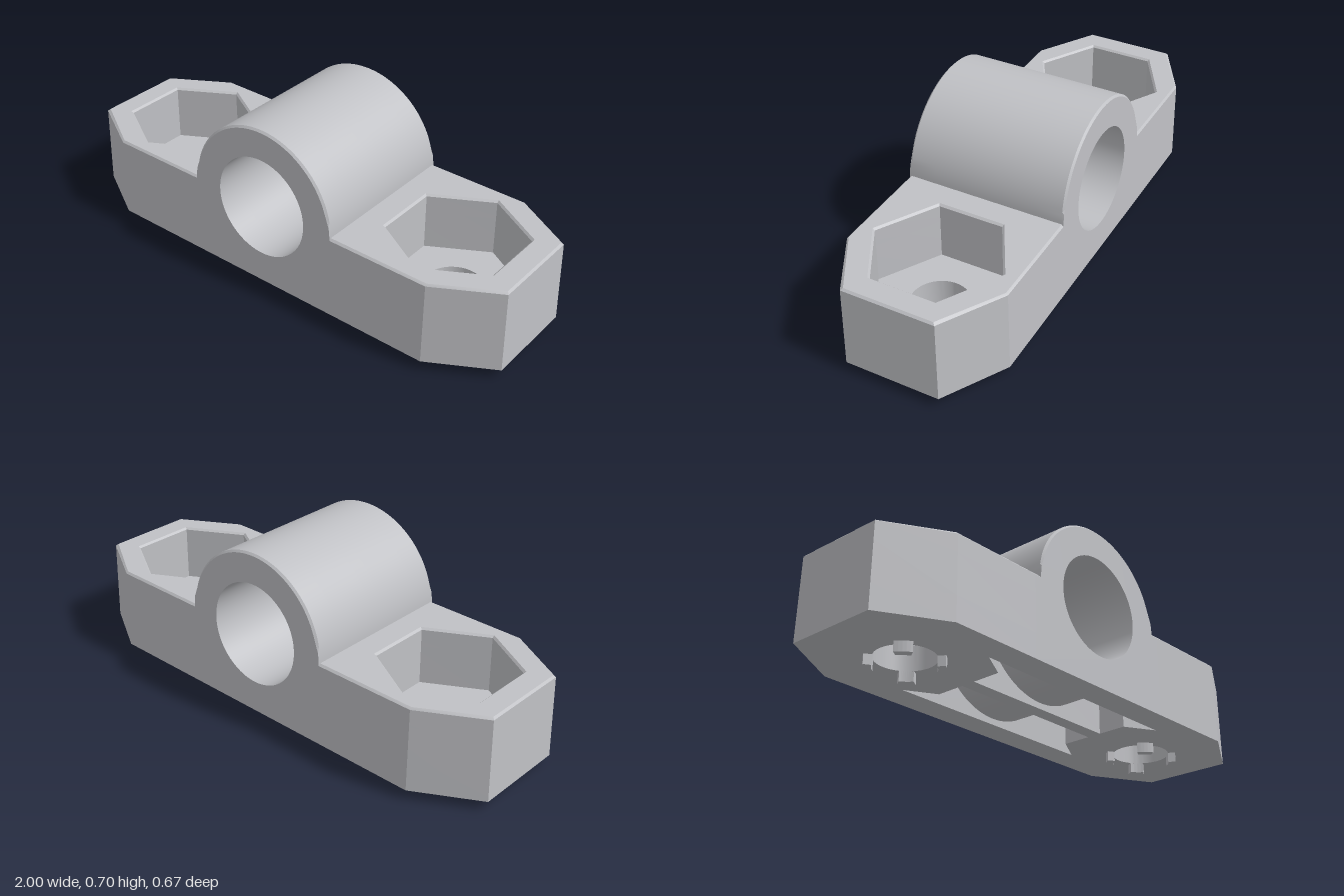
import * as THREE from 'three';
import { mergeGeometries, toCreasedNormals } from 'three/addons/utils/BufferGeometryUtils.js';

const BASE = 0.04, TOP = 0.38, AXIS = 0.375;   // underside, deck and bore heights
const ARCH = 0.33, BORE = 0.207, HOLE_X = 0.667;
const HALF_Z = 0.333, SEAM = 0.36, CEIL = 0.30, FLOOR = 0.14, EDGE = 0.008;

// Moves every vertex by a rule that edits the vector in place
function deform(geo, rule) {
  const p = geo.attributes.position, v = new THREE.Vector3();
  for (let i = 0; i < p.count; i++) {
    v.fromBufferAttribute(p, i);
    rule(v);
    p.setXYZ(i, v.x, v.y, v.z);
  }
  return geo;
}

// Slight mould draft: sides lean inward with height
function draft(v) {
  v.z *= 1 - 0.05 * (v.y - BASE);
  if (v.x > 0.7) v.x -= 0.02 * (v.y - BASE) * (v.x - 0.7) / 0.3;
}

const polygon = pts => new THREE.Shape(pts.map(p => new THREE.Vector2(...p)));

function circle(x, y, r) {
  return new THREE.Path().absarc(x, y, r, 0, Math.PI * 2, false);
}

function slab(shape, from, to) {
  const g = new THREE.ExtrudeGeometry(shape, { depth: to - from, bevelEnabled: false, curveSegments: 40 });
  return g.translate(0, 0, from);
}

// Extrudes a plan shape upward between two heights
const layer = (shape, y0, y1) => slab(shape, y0, y1).rotateX(-Math.PI / 2);

// Profile of the middle: arch on top, bore through it
function middleProfile(open) {
  const s = new THREE.Shape();
  s.moveTo(-SEAM, TOP);
  s.lineTo(-ARCH, TOP);
  s.absarc(0, AXIS, ARCH, Math.PI - 0.015, 0.015, true);
  s.lineTo(SEAM, TOP);
  if (open) {              // tube hanging in the hollow underside
    s.lineTo(SEAM, CEIL);
    s.absarc(0, AXIS, 0.31, -0.244, -Math.PI + 0.244, true);
    s.lineTo(-SEAM, CEIL);
  } else {                 // solid wall down to the base
    s.lineTo(SEAM, BASE);
    s.lineTo(-SEAM, BASE);
  }
  s.closePath();
  s.holes.push(circle(0, AXIS, BORE));
  return s;
}

// Plan of one wing, optionally notched by the underside hollows
function wingPlan(notched, hole) {
  const half = [[SEAM, HALF_Z], [0.75, HALF_Z], [1, 0.19]];
  const mirror = pts => pts.map(([x, z]) => [x, -z]).reverse();
  const notch = notched ? [[SEAM, 0.15], [0.48, 0.22], [SEAM, 0.22]] : [];
  const s = polygon([...half, ...mirror(half), ...mirror(notch), ...notch]);
  s.holes.push(hole);
  return s;
}

function hexagon() {
  const pts = [];
  for (let i = 0; i < 6; i++) {
    const a = Math.PI / 6 + i * Math.PI / 3;
    pts.push(new THREE.Vector2(HOLE_X + 0.268 * Math.cos(a), 0.268 * Math.sin(a)));
  }
  return new THREE.Path(pts);
}

// Chamfers the outer rim and the pocket rim of a wing
function chamferWing(v) {
  if (v.y < TOP - 0.001) return;
  if (Math.abs(v.x - HOLE_X) < 0.24 && Math.abs(v.z) < 0.28) {
    v.x = HOLE_X + (v.x - HOLE_X) * 1.035;
    v.z *= 1.035;
  } else {
    if (Math.abs(v.z) > 0.15) v.z -= Math.sign(v.z) * EDGE;
    if (v.x > 0.9) v.x -= EDGE;
  }
}

// Chamfers the top edge of the middle's end faces
function chamferMiddle(v) {
  if (Math.abs(v.z) < HALF_Z - 0.001 || v.y < TOP - 0.001) return;
  const r = Math.hypot(v.x, v.y - AXIS);
  if (Math.abs(v.x) > ARCH - 0.005) v.y -= EDGE;
  else if (r > ARCH - 0.01) {
    const k = (r - EDGE) / r;
    v.x *= k;
    v.y = AXIS + (v.y - AXIS) * k;
  }
}

export function createModel() {
  const model = new THREE.Group();
  model.name = 'shaftMount';
  const grey = new THREE.MeshStandardMaterial({ color: 0xc0c1c5 });
  grey.name = 'light grey';

  function add(parent, name, geo) {
    const mesh = new THREE.Mesh(toCreasedNormals(geo, 0.4), grey);
    mesh.name = name;
    parent.add(mesh);
  }

  // Middle: end walls, central rib, and tube spans over the hollows
  const wall = middleProfile(false), span = middleProfile(true);
  const middle = [slab(wall, -0.03, 0.03)];
  for (const [shape, a, b] of [[span, 0.03, 0.22], [wall, 0.22, HALF_Z - EDGE], [wall, HALF_Z - EDGE, HALF_Z]]) {
    middle.push(slab(shape, a, b), slab(shape, -b, -a));
  }
  add(model, 'bearingHousing', deform(deform(mergeGeometries(middle), chamferMiddle), draft));

  // Wings with a bolt hole, a hexagonal nut pocket and locating feet
  for (const side of ['left', 'right']) {
    const wing = new THREE.Group();
    wing.name = side + 'Wing';
    if (side === 'right') wing.rotation.y = Math.PI;
    model.add(wing);

    const body = mergeGeometries([
      layer(wingPlan(true, circle(HOLE_X, 0, 0.115)), BASE, FLOOR),
      layer(wingPlan(true, hexagon()), FLOOR, CEIL),
      layer(wingPlan(false, hexagon()), CEIL, TOP - EDGE),
      layer(wingPlan(false, hexagon()), TOP - EDGE, TOP),
    ]);
    add(wing, 'mountingWing', deform(deform(body, chamferWing), draft));

    // Four small ring segments around the bolt hole
    for (let i = 0; i < 4; i++) {
      const mid = Math.PI / 4 + i * Math.PI / 2, spread = 0.23;
      const s = new THREE.Shape();
      s.absarc(HOLE_X, 0, 0.145, mid - spread, mid + spread, false);
      s.absarc(HOLE_X, 0, 0.115, mid + spread, mid - spread, true);
      s.closePath();
      add(wing, 'locatingFoot', layer(s, 0, BASE + 0.005));
    }
  }
  return model;
}
